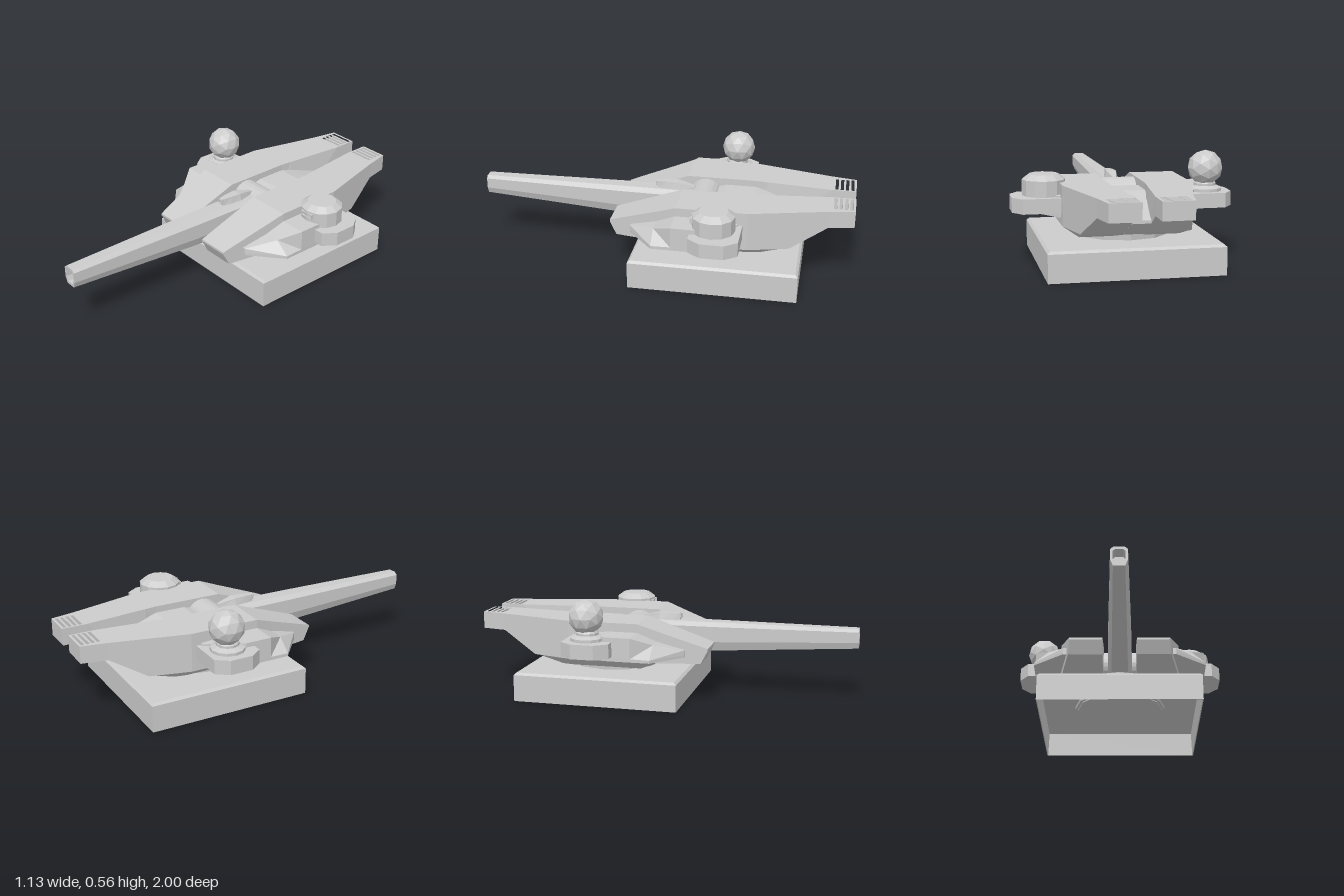
import * as THREE from 'three';

const mat = new THREE.MeshStandardMaterial({ color: 0xcccccc, flatShading: true });
const V = (x, y, z) => new THREE.Vector3(x, y, z);

// Skin a list of equal-length rings, close both ends and turn faces outward.
function loft(rings) {
  const p = [];
  const tri = (...t) => t.forEach((v) => p.push(v.x, v.y, v.z));
  const n = rings[0].length;
  for (let i = 0; i + 1 < rings.length; i++) {
    for (let j = 0; j < n; j++) {
      const k = (j + 1) % n, a = rings[i], b = rings[i + 1];
      tri(a[j], a[k], b[k]);
      tri(a[j], b[k], b[j]);
    }
  }
  const first = rings[0], last = rings[rings.length - 1];
  for (let j = 1; j < n - 1; j++) {
    tri(first[0], first[j + 1], first[j]);
    tri(last[0], last[j], last[j + 1]);
  }
  let vol = 0;
  for (let i = 0; i < p.length; i += 9) {
    vol += V(...p.slice(i, i + 3)).dot(V(...p.slice(i + 3, i + 6)).cross(V(...p.slice(i + 6, i + 9))));
  }
  if (vol < 0) {
    for (let i = 0; i < p.length; i += 9) {
      for (let c = 0; c < 3; c++) [p[i + 3 + c], p[i + 6 + c]] = [p[i + 6 + c], p[i + 3 + c]];
    }
  }
  const g = new THREE.BufferGeometry();
  g.setAttribute('position', new THREE.Float32BufferAttribute(p, 3));
  g.computeVertexNormals();
  return g;
}

function polygon(points) {
  return new THREE.Shape(points.map(([x, y]) => new THREE.Vector2(x, y)));
}

const rect = (x0, x1, y0, y1) => polygon([[x0, y0], [x1, y0], [x1, y1], [x0, y1]]);

// Extrude a plan drawn as (x, -z) upward from y0.
function slab(shape, y0, height) {
  return new THREE.ExtrudeGeometry(shape, { depth: height, bevelEnabled: false })
    .rotateX(-Math.PI / 2).translate(0, y0, 0);
}

// Small upright frame around a slit, facing +z.
function slitFrame(w, h, rim, depth) {
  const s = rect(-w, w, -h, h);
  s.holes.push(rect(-w + rim, w - rim, -h + rim, h - rim));
  return new THREE.ExtrudeGeometry(s, { depth, bevelEnabled: false });
}

export function createModel() {
  const model = new THREE.Group();
  const add = (name, geometry, x = 0, y = 0, z = 0) => {
    const m = new THREE.Mesh(geometry, mat);
    m.name = name;
    m.position.set(x, y, z);
    model.add(m);
    return m;
  };

  // Hollow square base with a chamfered top edge
  const square = (h, y) => [V(-h, y, -h), V(h, y, -h), V(h, y, h), V(-h, y, h)];
  add('base', loft([square(0.425, 0.135), square(0.43, 0), square(0.435, 0), square(0.435, 0.14), square(0.422, 0.152)]), 0, 0, -0.305);

  // Rotating neck
  add('neck', new THREE.CylinderGeometry(0.26, 0.25, 0.115, 12), 0, 0.1775, -0.305);
  add('neckUnderside', new THREE.CylinderGeometry(0.235, 0.235, 0.03, 12), 0, 0.13, -0.305);

  // Centre hull between the two pods: z, half width, top, bottom
  const centre = [[-0.22, 0.095, 0.36, 0.19], [-0.31, 0.095, 0.385, 0.18], [-0.47, 0.095, 0.385, 0.18],
    [-0.55, 0.075, 0.365, 0.18], [-0.68, 0.062, 0.325, 0.215], [-0.79, 0.047, 0.295, 0.28]];
  add('centreHull', loft(centre.map(([z, w, t, b]) => [V(-w, t, z), V(w, t, z), V(w, b, z), V(-w, b, z)])));

  // Drum the gun pivots on
  add('gunDrum', new THREE.CylinderGeometry(0.09, 0.09, 0.184, 24).rotateZ(Math.PI / 2), 0, 0.322, -0.2);

  // Pod sections: z, inner top x, inner bottom x, outer x, top, chine, belly, belly outer x
  const podSections = [
    [0.255, 0.09, 0.09, 0.262, 0.295, 0.284, 0.284, 0.255],
    [0.22, 0.09, 0.09, 0.268, 0.308, 0.217, 0.215, 0.258],
    [0, 0.09, 0.09, 0.307, 0.384, 0.217, 0.215, 0.29],
    [-0.1, 0.09, 0.09, 0.325, 0.42, 0.217, 0.172, 0.262],
    [-0.47, 0.09, 0.09, 0.325, 0.42, 0.217, 0.172, 0.262],
    [-0.53, 0.083, 0.065, 0.31, 0.42, 0.217, 0.172, 0.25],
    [-0.68, 0.066, 0.05, 0.272, 0.42, 0.218, 0.215, 0.25],
    [-0.87, 0.045, 0.045, 0.225, 0.42, 0.331, 0.33, 0.22],
  ];
  // Fairing sections: z, outer top x, outer bottom x, top, lower edge of the flank
  const fairingSections = [
    [0.14, 0.297, 0.3, 0.29, 0.265],
    [0, 0.39, 0.465, 0.33, 0.268],
    [-0.1, 0.465, 0.466, 0.375, 0.27],
    [-0.24, 0.465, 0.466, 0.375, 0.27],
    [-0.42, 0.34, 0.34, 0.36, 0.27],
  ];

  for (const s of [1, -1]) {
    const side = s > 0 ? 'left' : 'right';

    add(side + 'Pod', loft(podSections.map(([z, it, ib, o, t, c, b, bo]) =>
      [V(s * it, t, z), V(s * o, t, z), V(s * o, c, z), V(s * bo, b, z), V(s * ib, b, z)])));

    // Tail pierced by four vent slots
    const tail = polygon([[s * 0.045, 0.87], [s * 0.225, 0.87], [s * 0.2, 1], [s * 0.045, 1]]);
    for (let i = 0; i < 4; i++) {
      const z = 0.898 + i * 0.0273;
      tail.holes.push(rect(s * 0.055, s * 0.188, z - 0.008, z + 0.008));
    }
    add(side + 'VentedTail', slab(tail, 0.33, 0.09));

    add(side + 'Fairing', loft(fairingSections.map(([z, ot, ob, t, e]) =>
      [V(s * 0.25, t, z), V(s * ot, t, z), V(s * ob, e, z), V(s * ob, 0.253, z), V(s * 0.25, 0.253, z)])));

    // Chamfered platform for the side equipment
    const pad = polygon([[0.29, 0.195], [0.515, 0.195], [0.563, 0.26], [0.563, 0.38], [0.515, 0.445], [0.29, 0.445]]
      .map(([x, y]) => [s * x, y]));
    add(side + 'Platform', slab(pad, 0.277, 0.075));
  }

  // Left cupola with a vision slit
  const cupola = [[0, 0.34], [0.11, 0.34], [0.11, 0.432], [0.075, 0.458], [0, 0.458]]
    .map(([r, y]) => new THREE.Vector2(r, y));
  add('cupola', new THREE.LatheGeometry(cupola, 12), 0.395, 0, -0.307);
  add('cupolaSlit', slitFrame(0.038, 0.013, 0.004, 0.02), 0.395, 0.41, -0.214);

  // Right sensor ball on its stepped collar
  const collar = [[0, 0.34], [0.088, 0.34], [0.088, 0.367], [0.058, 0.38], [0.058, 0.392], [0.045, 0.41], [0, 0.41]]
    .map(([r, y]) => new THREE.Vector2(r, y));
  add('sensorCollar', new THREE.LatheGeometry(collar, 12), -0.437, 0, -0.33);
  add('sensorBall', new THREE.IcosahedronGeometry(0.091, 1), -0.437, 0.47, -0.335);

  // Tapering barrel with an open muzzle
  const barrelRing = (z, w, t, b, k = 1) => {
    const mid = (t + b) / 2, h = (t - b) / 2 * k, u = w * k;
    return [[-0.6, 1], [0.6, 1], [1, 0.72], [1, -0.35], [0.68, -1], [-0.68, -1], [-1, -0.35], [-1, 0.72]]
      .map(([x, y]) => V(x * u, mid + y * h, z));
  };
  add('barrel', loft([
    barrelRing(-0.21, 0.068, 0.39, 0.235),
    barrelRing(0.25, 0.06, 0.39, 0.237),
    barrelRing(1, 0.041, 0.388, 0.287),
    barrelRing(1, 0.041, 0.388, 0.287, 0.72),
    barrelRing(0.93, 0.041, 0.388, 0.287, 0.72),
  ]));

  // Gun sight: z, half width, top
  const sight = [[-0.155, 0.012, 0.405], [-0.06, 0.037, 0.426], [0.0, 0.03, 0.426], [0.05, 0.018, 0.424]];
  add('gunSight', loft(sight.map(([z, w, t]) =>
    [V(-w * 0.7, t, z), V(w * 0.7, t, z), V(w, 0.38, z), V(-w, 0.38, z)])));
  add('gunSightSlit', slitFrame(0.014, 0.012, 0.004, 0.012), 0, 0.41, 0.045);

  return model;
}
